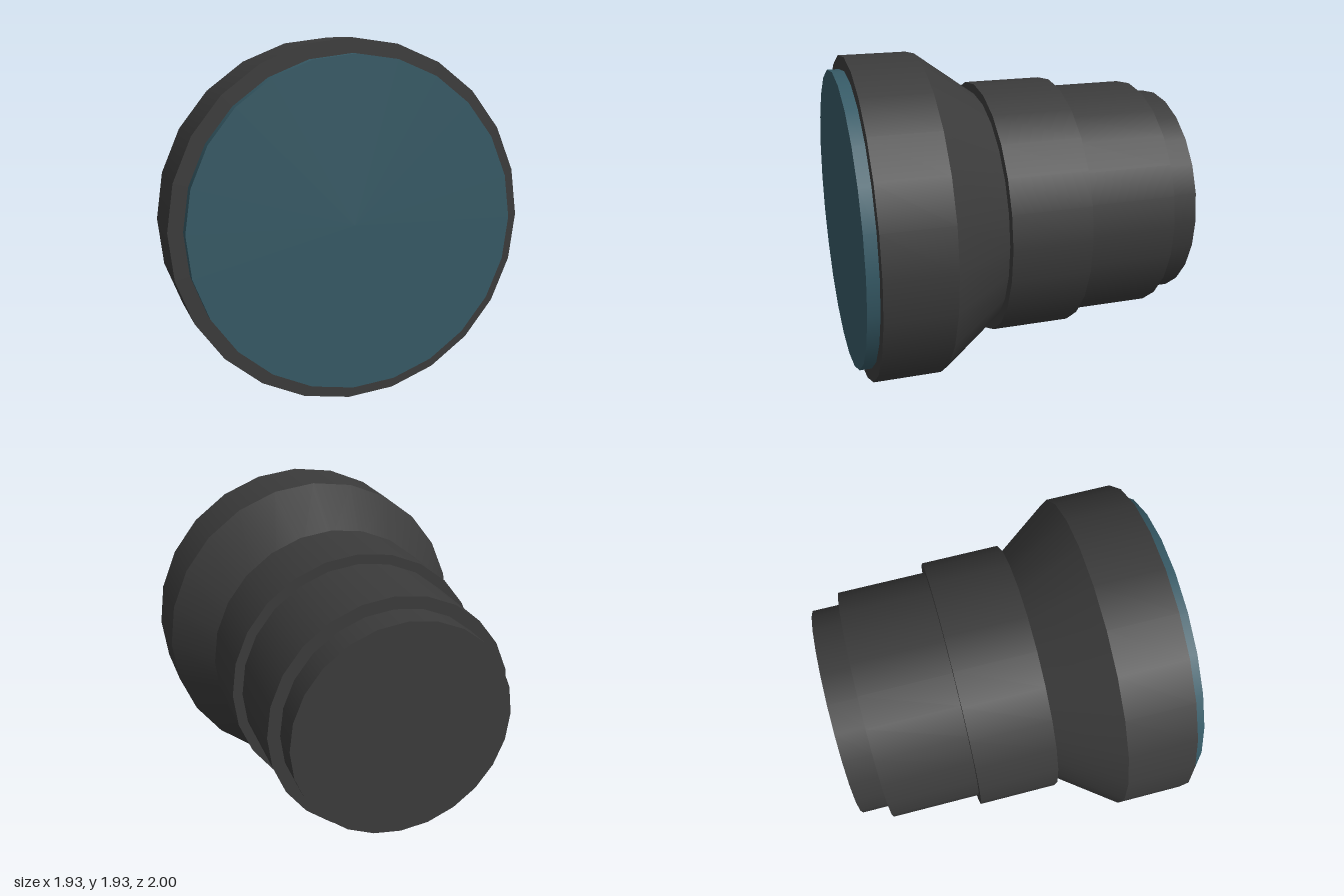
import * as THREE from 'three';

const SIDES = 24;
const CENTER_Y = 0.965;

export function createModel() {
  const group = new THREE.Group();
  const black = new THREE.MeshStandardMaterial({ color: 0x3b3b3b });
  const teal = new THREE.MeshStandardMaterial({ color: 0x365a66 });

  // Closed round section along z, from its back end to its front end
  const section = (name, zBack, zFront, rBack, rFront, material) => {
    const geometry = new THREE.CylinderGeometry(rFront, rBack, zFront - zBack, SIDES);
    geometry.rotateX(Math.PI / 2);
    const mesh = new THREE.Mesh(geometry, material);
    mesh.name = name;
    mesh.position.set(0, CENTER_Y, (zBack + zFront) / 2);
    group.add(mesh);
  };

  section('frontGlass', 0.93, 1.0, 0.885, 0.885, teal);
  section('frontHousing', 0.53, 0.93, 0.965, 0.965, black);
  section('taper', 0.175, 0.53, 0.705, 0.965, black);
  section('gripRing', -0.295, 0.175, 0.762, 0.762, black);
  section('rearBarrel', -0.825, -0.295, 0.705, 0.705, black);
  section('mountCap', -1.0, -0.825, 0.634, 0.634, black);

  return group;
}
